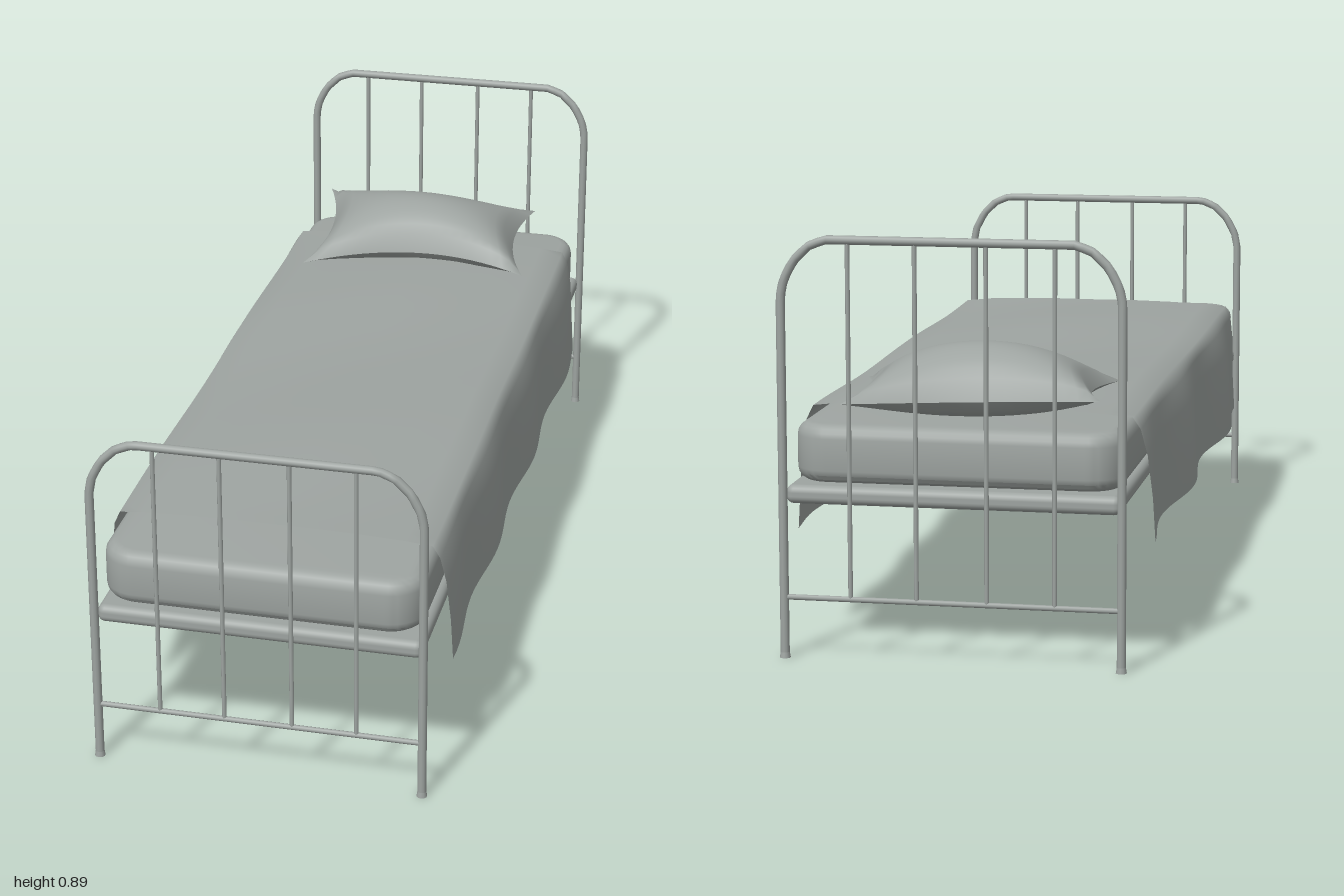
import * as THREE from 'three';
import { toCreasedNormals } from 'three/addons/utils/BufferGeometryUtils.js';
import { RoundedBoxGeometry } from 'three/addons/geometries/RoundedBoxGeometry.js';
import { ParametricGeometry } from 'three/addons/geometries/ParametricGeometry.js';

const CX = 0.0065; // middle of the frame
const HALF = 0.3555; // half distance between the posts
const { sin, cos, abs, PI, pow, max } = Math;

export function createModel() {
  const grey = new THREE.MeshStandardMaterial({ color: 0x9ea4a1, side: THREE.DoubleSide });
  grey.name = 'soft grey';
  const bed = new THREE.Group();
  bed.name = 'bed';

  const add = (parent, name, geometry, x = 0, y = 0, z = 0) => {
    const mesh = new THREE.Mesh(geometry, grey);
    mesh.name = name;
    mesh.position.set(x, y, z);
    parent.add(mesh);
    return mesh;
  };

  // Bent tube with chamfer-like rounded shoulders, bars and a low rail
  const endFrame = (name, top, z) => {
    const frame = new THREE.Group();
    frame.name = name;
    frame.position.set(CX, 0, z);
    bed.add(frame);

    const shoulder = [[HALF, 0], [HALF, top - 0.12], [HALF - 0.007, top - 0.085],
      [HALF - 0.028, top - 0.045], [HALF - 0.06, top - 0.014], [HALF - 0.095, top]];
    const points = [
      ...shoulder.map(([x, y]) => new THREE.Vector3(-x, y, 0)),
      ...shoulder.reverse().map(([x, y]) => new THREE.Vector3(x, y, 0)),
    ];
    const path = new THREE.CurvePath();
    for (let i = 1; i < points.length; i++) path.add(new THREE.LineCurve3(points[i - 1], points[i]));
    add(frame, 'bentTube', new THREE.TubeGeometry(path, 120, 0.0095, 10));

    for (const side of [-1, 1]) {
      add(frame, 'footCap', new THREE.CylinderGeometry(0.0095, 0.0115, 0.012, 10), side * HALF, 0.006, 0);
    }
    for (const x of [-0.21, -0.068, 0.08, 0.22]) {
      add(frame, 'verticalBar', new THREE.CylinderGeometry(0.005, 0.005, top - 0.13, 8), x - CX, (top + 0.13) / 2, 0);
    }
    add(frame, 'lowRail', new THREE.CylinderGeometry(0.006, 0.006, HALF * 2, 8), 0, 0.13, 0).rotation.z = PI / 2;
  };
  endFrame('headboard', 0.881, -0.9885);
  endFrame('footboard', 0.759, 0.9885);

  // Bed base
  add(bed, 'base', new RoundedBoxGeometry(0.705, 0.04, 1.968, 3, 0.016), CX, 0.346, 0);

  // Mattress with rounded corners and soft edges
  const bevel = 0.028, w = 0.348 - bevel, l = 0.972 - bevel, r = 0.05;
  const plan = new THREE.Shape();
  plan.absarc(w - r, l - r, r, 0, PI / 2);
  plan.absarc(r - w, l - r, r, PI / 2, PI);
  plan.absarc(r - w, r - l, r, PI, PI * 1.5);
  plan.absarc(w - r, r - l, r, PI * 1.5, PI * 2);
  const mattress = new THREE.ExtrudeGeometry(plan, {
    depth: 0.123 - bevel * 2, bevelThickness: bevel, bevelSize: bevel, bevelSegments: 4, curveSegments: 6,
  });
  mattress.rotateX(-PI / 2);
  add(bed, 'mattress', toCreasedNormals(mattress, 0.7), 0.003, 0.368 + bevel, 0);

  // Blanket: draped cross-section swept along the bed, with wavy hems
  const drape = [[1, 0.236], [0.985, 0.33], [0.965, 0.42], [0.935, 0.475], [0.895, 0.502],
    [0.75, 0.508], [0.5, 0.514], [0.25, 0.518], [0, 0.519]];
  const section = [...drape, ...drape.slice(0, -1).reverse().map(([x, y]) => [-x, y])];
  const count = section.length - 1;
  const blanket = new ParametricGeometry((u, v, target) => {
    const i = Math.round(u * count);
    const [x, y] = section[i];
    const z = -0.808 + v * 1.618;
    const hem = x < 0
      ? 0.381 - 0.014 * cos(2 * PI * (z - 0.13) / 0.67)
      : 0.383 + 0.008 * cos(2 * PI * (z - 0.3) / 0.47);
    // waves grow towards the hem; the top only ripples in height
    const hang = max(0, (0.51 - y) / 0.274);
    const width = 0.383 + (hem - 0.383) * Math.min(1, hang * 1.8);
    const ripple = abs(x) < 0.9 ? 0.006 * sin(z * 7 - 1 + x * 2) * (1 - 0.6 * abs(x)) : 0;
    target.set(x * width, y + ripple, z);
  }, count, 48);
  // u runs from +x to -x and v towards +z, so turn the faces outward
  const order = blanket.index.array;
  const a = new THREE.Vector3(), b = new THREE.Vector3(), c = new THREE.Vector3();
  const faceOut = (geometry, outward) => {
    const p = geometry.attributes.position, idx = geometry.index.array;
    for (let i = 0; i < idx.length; i += 3) {
      a.fromBufferAttribute(p, idx[i]);
      b.fromBufferAttribute(p, idx[i + 1]).sub(a);
      c.fromBufferAttribute(p, idx[i + 2]).sub(a);
      if (b.cross(c).dot(outward(a)) < 0) [idx[i + 1], idx[i + 2]] = [idx[i + 2], idx[i + 1]];
    }
    geometry.computeVertexNormals();
    return geometry;
  };
  add(bed, 'blanket', faceOut(blanket, (p) => new THREE.Vector3(p.x, abs(p.x) < 0.36 ? 1 : 0.2, 0)));

  // Pillow: two bulging halves sharing a pinched outline
  const pillowHalf = (side) => faceOut(new ParametricGeometry((s, t, target) => {
    const u = s * 2 - 1, v = t * 2 - 1;
    const mix = (bl, br, fl, fr) => (bl * (1 - s) + br * s) * (1 - t) + (fl * (1 - s) + fr * s) * t;
    const x = mix(-0.305, 0.24, -0.275, 0.28) - u * 0.04 * (1 - v * v);
    const z = mix(-0.97, -0.985, -0.535, -0.575) - v * 0.08 * (1 - u * u);
    const seam = mix(0.56, 0.54, 0.53, 0.53) + 0.012 * (1 - u * u) * v;
    const puff = pow(max(0, (1 - u * u) * (1 - v * v)), 0.55);
    const y = seam + (side > 0 ? 0.105 : -0.05) * puff;
    target.set(x, y, z);
  }, 20, 16), () => new THREE.Vector3(0, side, 0));
  const pillow = new THREE.Group();
  pillow.name = 'pillow';
  bed.add(pillow);
  add(pillow, 'pillowTop', pillowHalf(1));
  add(pillow, 'pillowUnderside', pillowHalf(-1));

  return bed;
}
